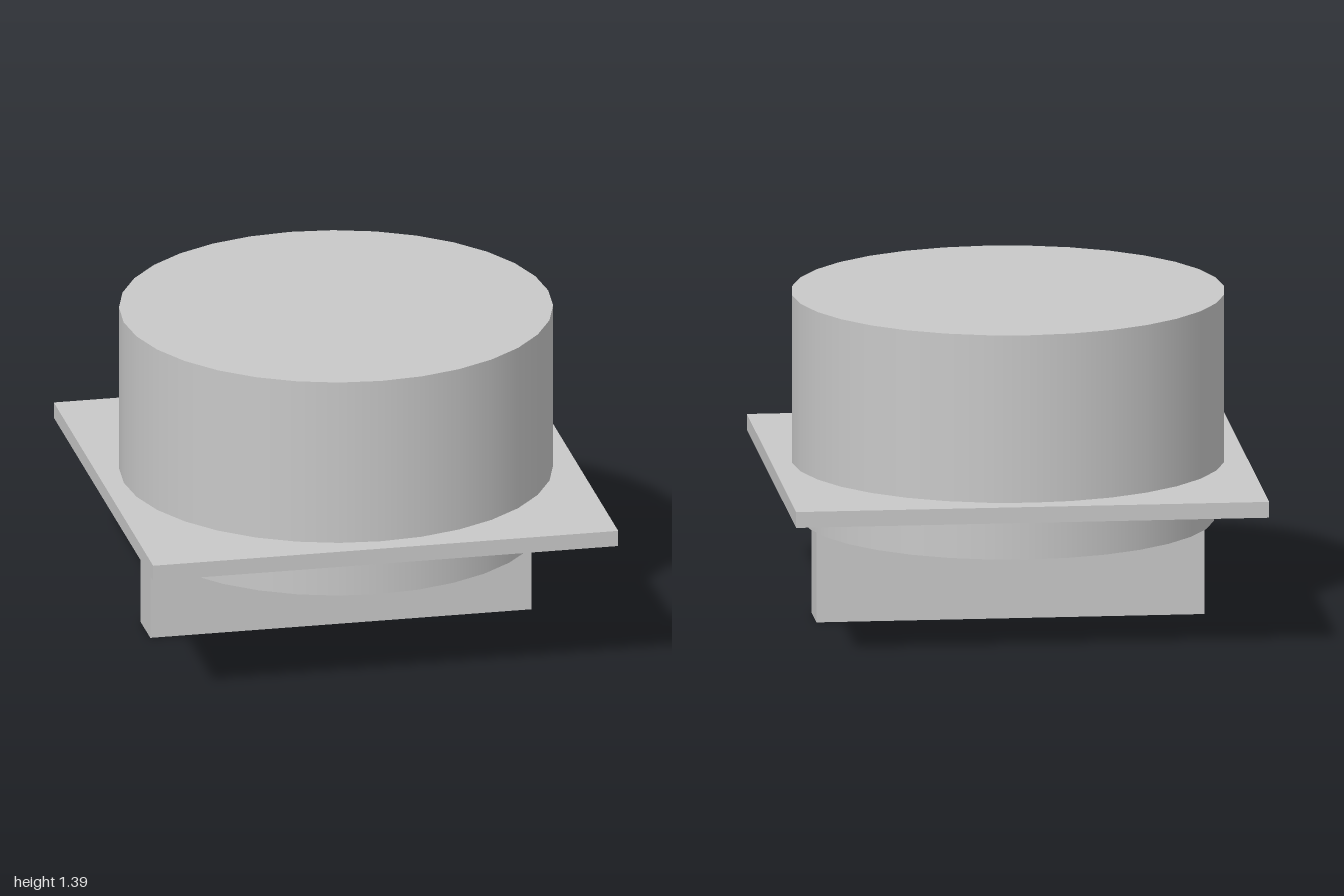
import * as THREE from 'three';

export function createModel() {
  const group = new THREE.Group();
  const grey = new THREE.MeshStandardMaterial({ color: 0xc8c8c8 });
  grey.name = 'plain grey';

  // Adds a part that spans y0 to y1
  const add = (name, geometry, y0, y1) => {
    const mesh = new THREE.Mesh(geometry, grey);
    mesh.name = name;
    mesh.position.y = (y0 + y1) / 2;
    group.add(mesh);
  };
  const disc = (name, r, y0, y1) =>
    add(name, new THREE.CylinderGeometry(r, r, y1 - y0, 32), y0, y1);
  const block = (name, w, d, y0, y1) =>
    add(name, new THREE.BoxGeometry(w, y1 - y0, d), y0, y1);

  block('gripBar', 1.64, 0.2, 0, 0.415);
  disc('lowerCollar', 0.87, 0.415, 0.6);
  block('squareFlange', 2, 2, 0.6, 0.668);
  disc('upperDrum', 0.913, 0.668, 1.388);

  return group;
}
